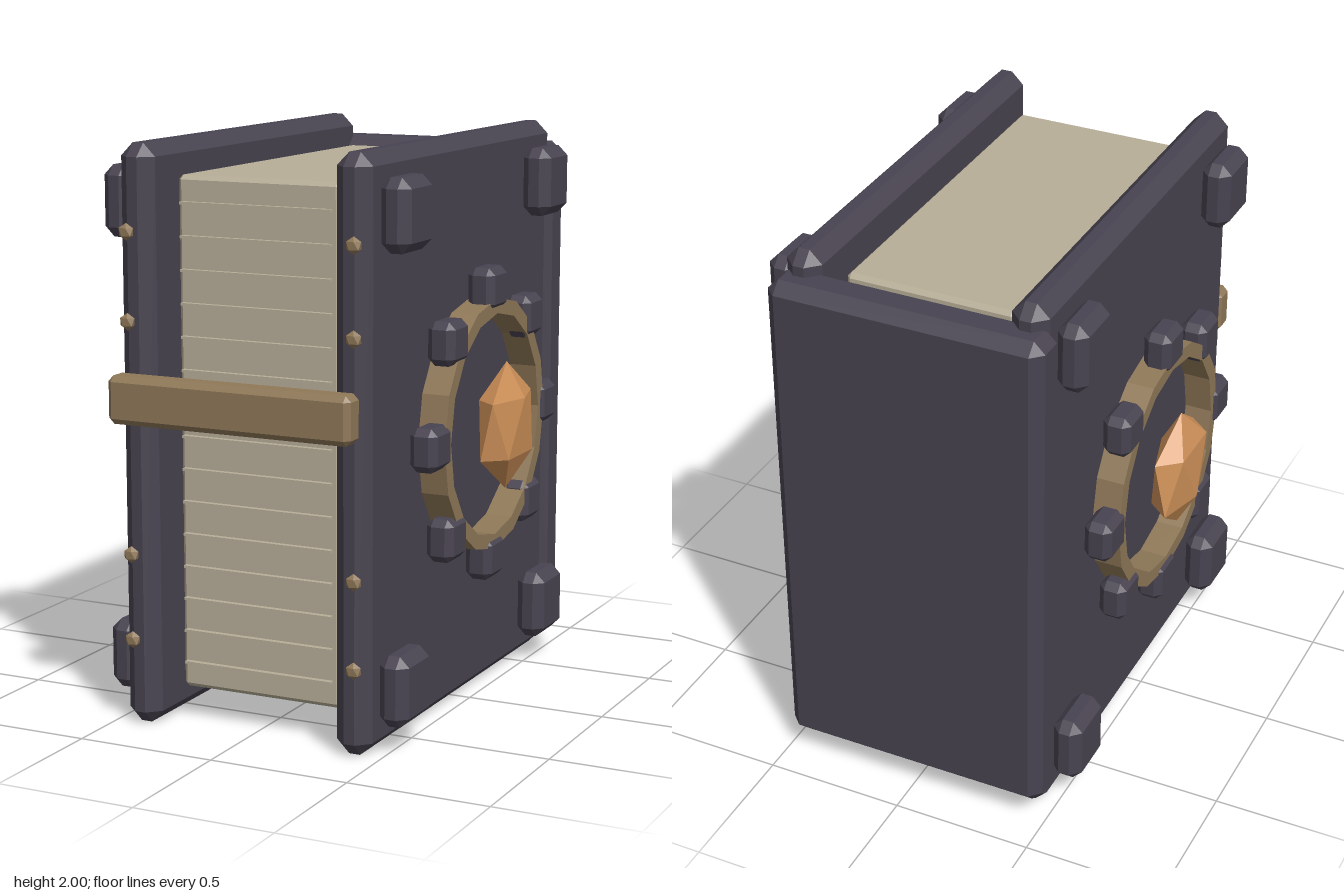
import * as THREE from 'three';
import { ConvexGeometry } from 'three/addons/geometries/ConvexGeometry.js';

const mat = (name, color) => {
  const m = new THREE.MeshStandardMaterial({ color });
  m.name = name;
  m.flatShading = true;
  return m;
};

// Box with chamfered edges and cut corners
function chamferBox(w, h, d, b) {
  const pts = [];
  for (const sx of [-1, 1]) for (const sy of [-1, 1]) for (const sz of [-1, 1]) {
    const x = w / 2, y = h / 2, z = d / 2;
    pts.push(
      new THREE.Vector3(sx * x, sy * (y - b), sz * (z - b)),
      new THREE.Vector3(sx * (x - b), sy * y, sz * (z - b)),
      new THREE.Vector3(sx * (x - b), sy * (y - b), sz * z));
  }
  return new ConvexGeometry(pts);
}

// Icosahedron standing on a vertex
function gemGeometry(rx, ry, rz) {
  return new THREE.IcosahedronGeometry(1, 0)
    .rotateZ(Math.atan2(2, 1 + Math.sqrt(5)))
    .rotateY(Math.PI)
    .scale(rx, ry, rz);
}

// Flat faceted hoop around the x axis
function hoopGeometry(inner, outer, width, sides) {
  const r = (inner + outer) / 2, t = (outer - inner) / 2, h = width / 2;
  const profile = [[r - t, -h], [r + t, -h], [r + t, h], [r - t, h], [r - t, -h]]
    .map(([x, y]) => new THREE.Vector2(x, y));
  return new THREE.LatheGeometry(profile, sides).rotateZ(Math.PI / 2);
}

export function createModel() {
  const leather = mat('dark leather', 0x484350);
  const paper = mat('paper', 0xb8ae98);
  const brass = mat('brass', 0x8f7858);
  const amber = mat('amber gem', 0xcd9058);

  const book = new THREE.Group();
  book.name = 'book';
  const add = (name, geo, material, x, y, z) => {
    const m = new THREE.Mesh(geo, material);
    m.name = name;
    m.position.set(x, y, z);
    book.add(m);
  };
  const zc = -0.012; // middle of the covers

  // Spine, page block and clasp
  add('spine', chamferBox(0.98, 1.84, 0.162, 0.04), leather, 0, 1, -0.806);
  add('pageBlock', chamferBox(0.605, 1.775, 1.32, 0.015), paper, 0, 1.002, -0.013);
  add('clasp', chamferBox(0.9, 0.165, 0.095, 0.02), brass, 0, 1.153, 0.838);

  // Page lines on the fore edge
  const line = new THREE.BoxGeometry(0.56, 0.009, 0.02);
  for (let i = 0; i < 15; i++) add('pageLine', line, paper, 0, 0.21 + i * 0.1135, 0.665);

  const cover = chamferBox(0.13, 2, 1.585, 0.045);
  const corner = chamferBox(0.11, 0.245, 0.228, 0.035);
  const hoop = hoopGeometry(0.392, 0.445, 0.098, 16);
  const block = chamferBox(0.1, 0.15, 0.152, 0.025);
  const gem = gemGeometry(0.078, 0.225, 0.204);
  const stud = gemGeometry(0.03, 0.03, 0.022);

  for (const s of [-1, 1]) {
    add('cover', cover, leather, s * 0.4, 1, zc);

    // Corner guards
    for (const y of [0.213, 1.795])
      for (const z of [0.593, -0.617]) add('cornerGuard', corner, leather, s * 0.515, y, z);

    // Medallion: hoop, eight blocks and a gem
    add('hoop', hoop, brass, s * 0.536, 1, zc);
    for (let i = 0; i < 8; i++) {
      const a = i * Math.PI / 4;
      add('hoopBlock', block, leather, s * 0.547, 1.002 + 0.476 * Math.sin(a), zc + 0.476 * Math.cos(a));
    }
    add('gem', gem, amber, s * 0.621, 1.002, zc);

    // Studs along the front edge
    for (const y of [0.303, 0.603, 1.405, 1.707]) add('stud', stud, brass, s * 0.42, y, 0.787);
  }
  return book;
}
